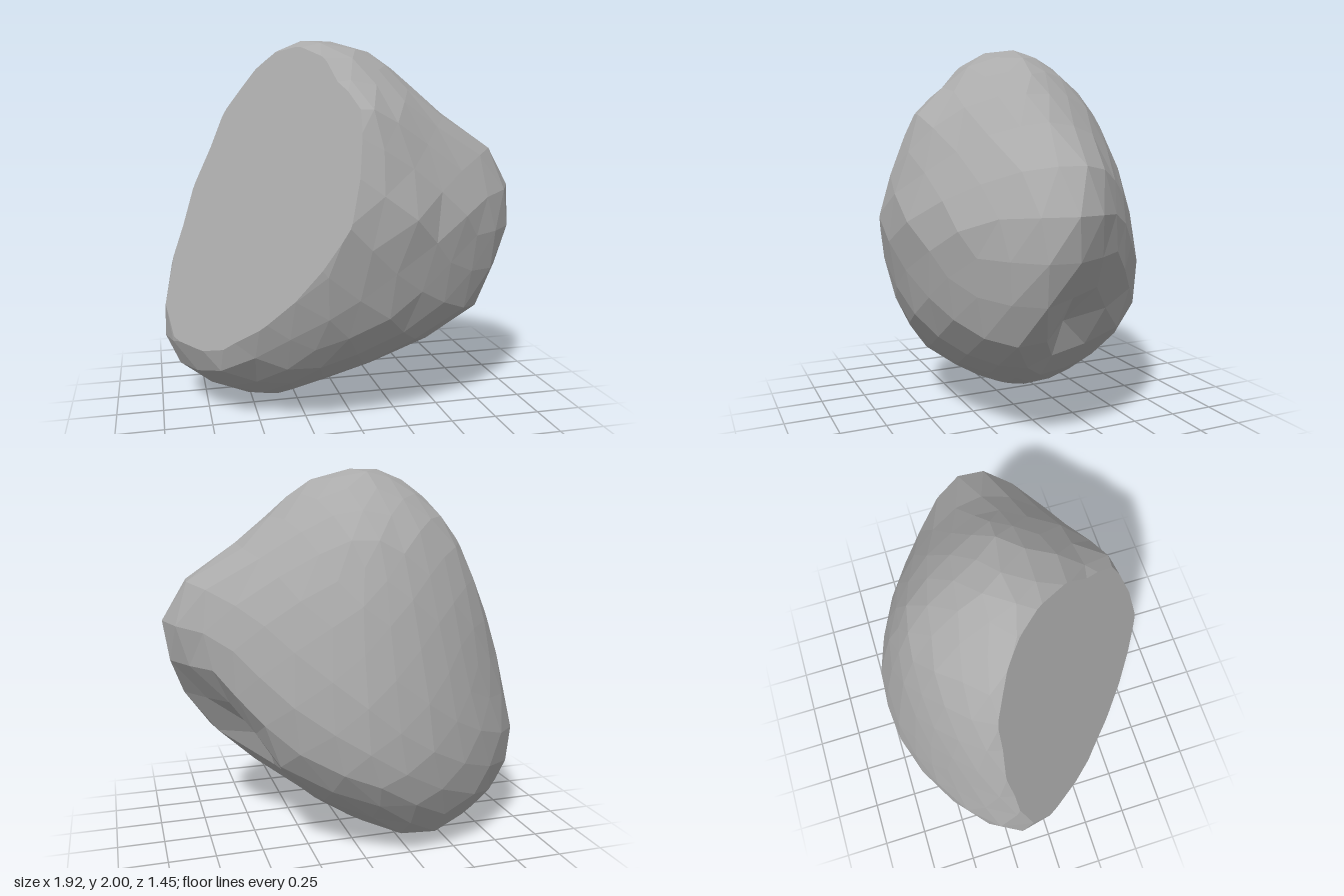
import * as THREE from 'three';

// Outline of the uncut stone from low to high: outermost point (x, z) on each side,
// with the roundness of the front and of the back right where it varies.
const levels = [
  { y: 0, front: [-0.35, -0.09], right: [-0.33, -0.12], back: [-0.37, -0.15], left: [-0.41, -0.11] },
  { y: 0.08, front: [-0.38, 0.09], right: [-0.06, -0.14], back: [-0.3, -0.49], left: [-0.72, -0.17] },
  { y: 0.3, front: [-0.3, 0.42], right: [0.37, 0.08], back: [-0.15, -0.65], left: [-0.97, -0.15] },
  { y: 0.48, front: [-0.25, 0.54], right: [0.66, 0.2], back: [0, -0.71], left: [-0.97, -0.2] },
  { y: 0.62, front: [-0.2, 0.62], right: [0.79, 0.23], back: [0.05, -0.72], left: [-0.96, -0.21] },
  { y: 0.87, front: [-0.22, 0.68], right: [0.89, 0.2], back: [0.06, -0.7], left: [-0.9, -0.19] },
  { y: 1.13, front: [-0.13, 0.73], right: [0.97, 0.12], back: [0.06, -0.64], left: [-0.82, -0.21], knob: 0.11 },
  { y: 1.38, front: [-0.07, 0.67], right: [0.91, 0.08], back: [0.05, -0.58], left: [-0.72, -0.22], face: 0.07, knob: 0.08 },
  { y: 1.67, front: [-0.03, 0.56], right: [0.48, 0.06], back: [0, -0.47], left: [-0.59, -0.19] },
  { y: 1.82, front: [-0.04, 0.36], right: [0.33, 0.03], back: [-0.02, -0.34], left: [-0.48, -0.13] },
  { y: 1.94, front: [-0.08, 0.25], right: [0.17, 0.02], back: [-0.07, -0.2], left: [-0.35, -0.04] },
  { y: 2, front: [-0.15, 0.07], right: [-0.05, -0.02], back: [-0.13, -0.1], left: [-0.21, 0] },
];

// Midpoint of two outline points, pushed outwards by a share of their distance
function rounded(a, b, amount) {
  const out = new THREE.Vector3(a.z - b.z, 0, b.x - a.x);
  return a.clone().lerp(b, 0.5).addScaledVector(out, amount);
}

// Closed horizontal outline of one level, from the front round by the right
function makeOutline({ front, right, back, left, face = 0.12, knob = 0.15, y }) {
  const [f, r, b, l] = [front, right, back, left].map(([x, z]) => new THREE.Vector3(x, y, z));
  return new THREE.CatmullRomCurve3([
    f, rounded(f, r, face), r, rounded(r, b, knob), b, rounded(b, l, 0.15), l, rounded(l, f, 0.18),
  ], true);
}
const outlines = levels.map(makeOutline);

// Carry a point of the unit sphere to the stone: height picks the level, bearing the outline point
function toStone(v) {
  const y = THREE.MathUtils.clamp(1 + 1.0076 * v.y, 0, 2);
  const bearing = (Math.atan2(v.x, v.z) / (2 * Math.PI) + 1) % 1;
  const i = Math.min(levels.findLastIndex((level) => level.y <= y), levels.length - 2);
  const t = (y - levels[i].y) / (levels[i + 1].y - levels[i].y);
  const p = outlines[i].getPoint(bearing).lerp(outlines[i + 1].getPoint(bearing), t);
  // Hollow in the right flank, under the overhanging knob
  if (p.x > 0) p.x -= 0.27 * Math.exp(-(((y - 0.6) / 0.24) ** 2) - ((p.z + 0.09) / 0.2) ** 2);
  return p;
}

// Height above the sloping plane of the cleft face; positive is cut away
const aboveCleft = (p) => p.z - (1.347 * p.x - 0.552 * p.y + 1.506);

function makeRockGeometry() {
  const sphere = new THREE.IcosahedronGeometry(1, 4).getAttribute('position');
  const vertices = [];
  const rim = [];
  const fan = (points) => {
    for (let i = 1; i < points.length - 1; i++) {
      for (const p of [points[0], points[i], points[i + 1]]) vertices.push(p.x, p.y, p.z);
    }
  };

  // Faceted body, each facet trimmed at the cleft plane
  for (let i = 0; i < sphere.count; i += 3) {
    const corners = [0, 1, 2].map((k) => toStone(new THREE.Vector3().fromBufferAttribute(sphere, i + k)));
    const kept = [];
    corners.forEach((p, k) => {
      const q = corners[(k + 1) % 3];
      const hp = aboveCleft(p), hq = aboveCleft(q);
      if (hp <= 0) kept.push(p);
      if ((hp <= 0) !== (hq <= 0)) {
        const cut = p.clone().lerp(q, hp / (hp - hq));
        kept.push(cut);
        rim.push(cut);
      }
    });
    fan(kept);
  }

  // Flat cleft face, filling the trimmed rim
  const centre = rim.reduce((sum, p) => sum.add(p), new THREE.Vector3()).divideScalar(rim.length);
  const angle = (p) => Math.atan2(p.y - centre.y, p.x - centre.x);
  rim.sort((a, b) => angle(a) - angle(b));
  fan([centre, ...rim, rim[0]]);

  // Unshared corners give flat facets
  const geometry = new THREE.BufferGeometry();
  geometry.setAttribute('position', new THREE.Float32BufferAttribute(vertices, 3));
  geometry.computeVertexNormals();
  return geometry;
}

export function createModel() {
  const stone = new THREE.MeshStandardMaterial({ color: 0xaaaaaa });
  stone.name = 'stone grey';

  const rock = new THREE.Mesh(makeRockGeometry(), stone);
  rock.name = 'rock';

  const model = new THREE.Group();
  model.name = 'boulder';
  model.add(rock);
  return model;
}
